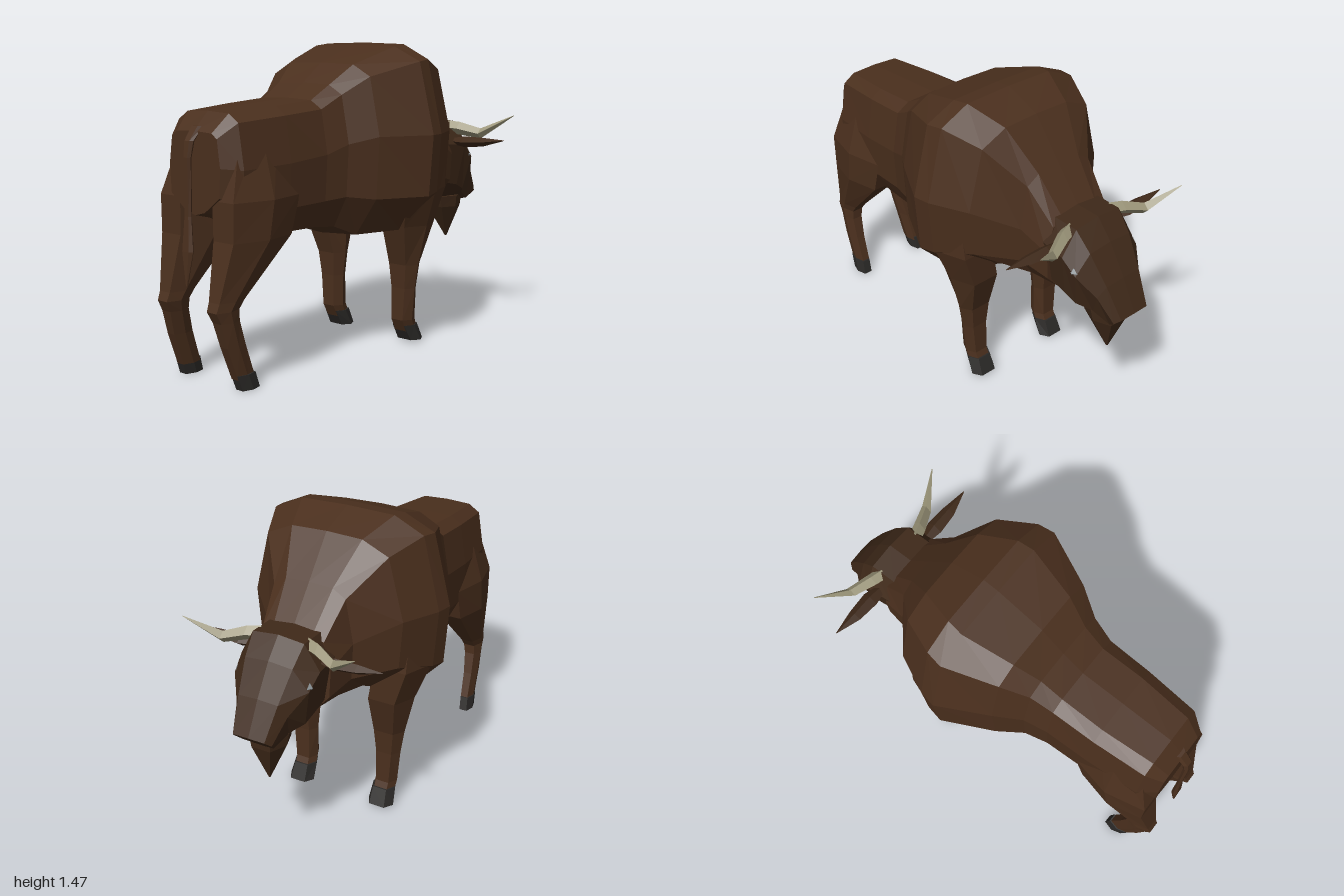
import * as THREE from 'three';

const mat = (color) => new THREE.MeshStandardMaterial({ color, flatShading: true });
const hide = mat(0x4a2f1d), mane = mat(0x3f2919), hoofMat = mat(0x2b2927), hornMat = mat(0x9a9478), eyeMat = mat(0x8b9296);
const lerp = THREE.MathUtils.lerp;

// Skins a list of equal-length rings, caps both ends and turns the faces outward.
function loft(name, rings, material) {
  const tris = [];
  const n = rings[0].length;
  const first = rings[0], last = rings[rings.length - 1];
  const centre = (ring) => [0, 1, 2].map((k) => ring.reduce((s, p) => s + p[k], 0) / n);
  for (let i = 0; i < n; i++) {
    const j = (i + 1) % n;
    for (let r = 0; r < rings.length - 1; r++) {
      const [a, b, c, d] = [rings[r][i], rings[r][j], rings[r + 1][j], rings[r + 1][i]];
      tris.push([a, b, c], [a, c, d]);
    }
    tris.push([first[j], first[i], centre(first)], [last[i], last[j], centre(last)]);
  }
  const V = (p) => new THREE.Vector3(...p);
  const volume = tris.reduce((s, [a, b, c]) => s + V(a).dot(V(b).cross(V(c))), 0);
  if (volume < 0) tris.forEach((t) => t.reverse());
  const geo = new THREE.BufferGeometry();
  geo.setAttribute('position', new THREE.Float32BufferAttribute(tris.flat(2), 3));
  geo.computeVertexNormals();
  const mesh = new THREE.Mesh(geo, material);
  mesh.name = name;
  return mesh;
}

// Full ring from a half outline that starts and ends on the centre line.
const mirrorRing = (half) => [...half, ...half.slice(1, -1).reverse().map(([x, y, z]) => [-x, y, z])];

// Trunk outline: flat back, sloping shoulder, widest point, flank, belly.
const trunkRing = ([z, top, backW, maxW, maxY, bottom, bellyW]) => mirrorRing([
  [0, top, z], [backW, top - 0.006, z],
  [lerp(backW, maxW, 0.64), lerp(top, maxY, 0.18), z],
  [maxW, maxY, z], [maxW * 0.95, lerp(maxY, bottom, 0.6), z],
  [bellyW, bottom + 0.015, z], [0, bottom, z],
]);

// Head outline, tilted between a top and a bottom point.
const headRing = ([topY, topZ, botY, botZ, topW, maxW]) => mirrorRing(
  [[0, 0], [topW, 0.03], [maxW, 0.3], [maxW * 0.8, 0.78], [0, 1]]
    .map(([x, t]) => [x, lerp(topY, botY, t), lerp(topZ, botZ, t)]));

// Six-sided level ring from its extents in x and z.
function hexRing(s, y, x0, x1, z0, z1) {
  const cx = (x0 + x1) / 2, cz = (z0 + z1) / 2, w = (x1 - x0) / 2, d = (z1 - z0) / 2;
  return [[1, 0], [0.6, 1], [-0.6, 1], [-1, 0], [-0.6, -1], [0.6, -1]]
    .map(([u, v]) => [s * (cx + u * w), y, cz + v * d]);
}

// Upright diamond ring for horns and ears.
const diamondRing = (s, [x, y, z, r], flat) =>
  [[r * flat, 0], [0, -r], [-r * flat, 0], [0, r]].map(([v, w]) => [s * x, y + v, z + w]);

export function createModel() {
  const model = new THREE.Group();
  model.name = 'bison';

  // Trunk, rump to neck: z, top, back width, greatest width and its height, belly, belly width
  model.add(loft('trunk', [
    [0.94, 1.11, 0.11, 0.16, 0.96, 0.75, 0.06],
    [0.86, 1.19, 0.13, 0.22, 0.95, 0.73, 0.1],
    [0.6, 1.21, 0.15, 0.24, 0.96, 0.63, 0.16],
    [0.38, 1.225, 0.15, 0.25, 0.98, 0.63, 0.17],
    [0.27, 1.29, 0.16, 0.28, 1.02, 0.62, 0.19],
    [0.15, 1.38, 0.2, 0.36, 1.05, 0.57, 0.22],
    [-0.09, 1.46, 0.25, 0.485, 1.05, 0.57, 0.29],
    [-0.17, 1.47, 0.24, 0.47, 1.05, 0.59, 0.27],
    [-0.35, 1.405, 0.18, 0.385, 1.05, 0.67, 0.18],
    [-0.5, 1.22, 0.12, 0.22, 0.97, 0.68, 0.14],
    [-0.64, 1.05, 0.1, 0.19, 0.9, 0.67, 0.11],
  ].map(trunkRing), hide));

  // Head, neck to muzzle: top y and z, bottom y and z, crown width, greatest width
  model.add(loft('head', [
    [1.07, -0.62, 0.67, -0.56, 0.13, 0.19],
    [1.07, -0.75, 0.63, -0.72, 0.13, 0.2],
    [0.98, -0.83, 0.62, -0.78, 0.12, 0.19],
    [0.84, -0.92, 0.62, -0.83, 0.1, 0.13],
    [0.69, -1, 0.61, -0.91, 0.08, 0.1],
  ].map(headRing), mane));

  // Beard
  model.add(loft('beard', [
    hexRing(1, 0.65, -0.09, 0.09, -0.92, -0.73),
    hexRing(1, 0.59, -0.08, 0.08, -0.915, -0.75),
    hexRing(1, 0.42, -0.004, 0.004, -0.86, -0.85),
  ], mane));

  // Tail with its root and tuft: y, half width, z extents
  model.add(loft('tail', [
    [1.13, 0.03, 0.89, 0.935], [1.07, 0.025, 0.95, 0.98], [1, 0.02, 0.965, 0.99],
    [0.75, 0.02, 0.97, 0.99], [0.6, 0.033, 0.97, 1], [0.45, 0.004, 0.99, 0.998],
  ].map(([y, w, z0, z1]) => hexRing(1, y, -w, w, z0, z1)), hide));

  for (const s of [1, -1]) {
    const side = s > 0 ? 'left' : 'right';
    const limb = (name, rows, material) => model.add(loft(side + name, rows.map((r) => hexRing(s, ...r)), material));

    // Hind leg: y, x extents, z extents
    limb('HindLeg', [
      [1.12, 0.12, 0.19, 0.62, 0.84],
      [0.82, 0.06, 0.275, 0.54, 0.935],
      [0.65, 0.065, 0.27, 0.59, 0.935],
      [0.4, 0.105, 0.215, 0.84, 0.985],
      [0.36, 0.11, 0.21, 0.87, 1],
      [0.31, 0.12, 0.21, 0.87, 0.975],
      [0.2, 0.135, 0.21, 0.84, 0.945],
      [0.05, 0.145, 0.21, 0.79, 0.89],
    ], hide);
    limb('HindHoof', [[0.07, 0.145, 0.215, 0.79, 0.895], [0, 0.15, 0.22, 0.77, 0.87]], hoofMat);

    // Front leg
    limb('FrontLeg', [
      [0.95, 0.2, 0.44, -0.3, 0],
      [0.78, 0.17, 0.44, -0.32, -0.02],
      [0.6, 0.14, 0.37, -0.31, -0.08],
      [0.4, 0.15, 0.32, -0.25, -0.14],
      [0.28, 0.165, 0.3, -0.24, -0.15],
      [0.12, 0.17, 0.285, -0.245, -0.15],
      [0.06, 0.17, 0.28, -0.27, -0.18],
    ], hide);
    limb('FrontHoof', [[0.09, 0.165, 0.285, -0.265, -0.165], [0.01, 0.16, 0.295, -0.3, -0.21]], hoofMat);

    // Horn: x, y, z, radius, curving outward to a raised tip
    const horn = [[0.12, 1.03, -0.7, 0.034], [0.18, 1.025, -0.72, 0.033], [0.28, 1, -0.765, 0.027], [0.43, 1.095, -0.845, 0.002]];
    model.add(loft(side + 'Horn', horn.map((p) => diamondRing(s, p, 1)), hornMat));

    // Ear: flat leaf
    const ear = [[0.15, 0.96, -0.68, 0.02], [0.24, 0.96, -0.685, 0.04], [0.35, 0.965, -0.685, 0.032], [0.475, 0.98, -0.69, 0.002]];
    model.add(loft(side + 'Ear', ear.map((p) => diamondRing(s, p, 0.7)), mane));

    // Eye
    const eye = new THREE.Mesh(new THREE.OctahedronGeometry(0.024), eyeMat);
    eye.name = side + 'Eye';
    eye.scale.x = 0.6;
    eye.position.set(s * 0.182, 0.885, -0.795);
    model.add(eye);
  }
  return model;
}
